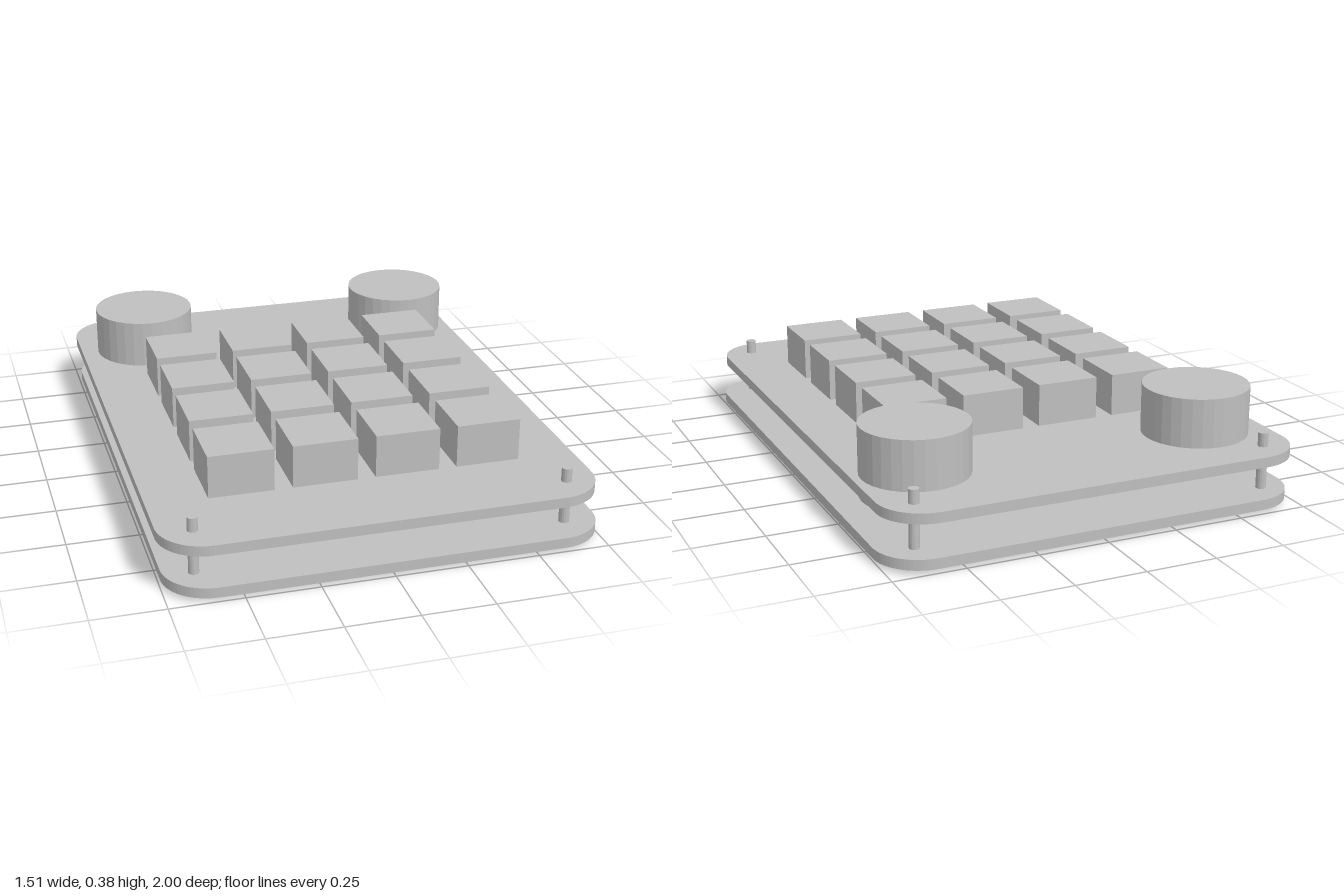
import * as THREE from 'three';

const grey = new THREE.MeshStandardMaterial({ color: 0xbfbfbf });
grey.name = 'light grey';

// Horizontal plate with rounded corners, from y0 up to y0 + thickness
function makePlate(name, width, depth, radius, thickness, x, y0) {
  const w = width / 2, d = depth / 2, r = radius;
  const shape = new THREE.Shape();
  shape.absarc(w - r, d - r, r, 0, Math.PI / 2);
  shape.absarc(-w + r, d - r, r, Math.PI / 2, Math.PI);
  shape.absarc(-w + r, -d + r, r, Math.PI, Math.PI * 1.5);
  shape.absarc(w - r, -d + r, r, Math.PI * 1.5, Math.PI * 2);
  shape.closePath();
  const geometry = new THREE.ExtrudeGeometry(shape, { depth: thickness, bevelEnabled: false, curveSegments: 8 });
  geometry.rotateX(-Math.PI / 2);
  const plate = new THREE.Mesh(geometry, grey);
  plate.name = name;
  plate.position.set(x, y0, 0);
  return plate;
}

// Upright faceted cylinder between two heights
function makePillar(name, radius, y0, y1, x, z, sides) {
  let geometry = new THREE.CylinderGeometry(radius, radius, y1 - y0, sides).toNonIndexed();
  geometry.computeVertexNormals();
  const mesh = new THREE.Mesh(geometry, grey);
  mesh.name = name;
  mesh.position.set(x, (y0 + y1) / 2, z);
  return mesh;
}

export function createModel() {
  const model = new THREE.Group();
  model.name = 'keypad';

  // Two stacked case plates, slightly offset sideways
  model.add(makePlate('bottomPlate', 1.5, 2, 0.16, 0.036, 0.005, 0.015));
  model.add(makePlate('topPlate', 1.5, 2, 0.16, 0.036, -0.007, 0.167));

  // Corner screws through both plates
  const screws = new THREE.Group();
  screws.name = 'cornerScrews';
  for (const x of [-0.642, 0.634])
    for (const z of [-0.895, 0.883])
      screws.add(makePillar('screw', 0.018, 0, 0.252, x, z, 16));
  model.add(screws);

  // Two dials at the back
  model.add(makePillar('rightDial', 0.187, 0.127, 0.377, -0.508, -0.666, 32));
  model.add(makePillar('leftDial', 0.187, 0.127, 0.377, 0.529, -0.642, 32));

  // Four by four grid of keys reaching through the top plate
  const keys = new THREE.Group();
  keys.name = 'keys';
  const keyGeometry = new THREE.BoxGeometry(0.225, 0.226, 0.225);
  for (let row = 0; row < 4; row++) {
    for (let col = 0; col < 4; col++) {
      const key = new THREE.Mesh(keyGeometry, grey);
      key.name = 'key';
      key.position.set(-0.435 + col * 0.288, 0.24, -0.291 + row * 0.288);
      keys.add(key);
    }
  }
  model.add(keys);

  return model;
}
